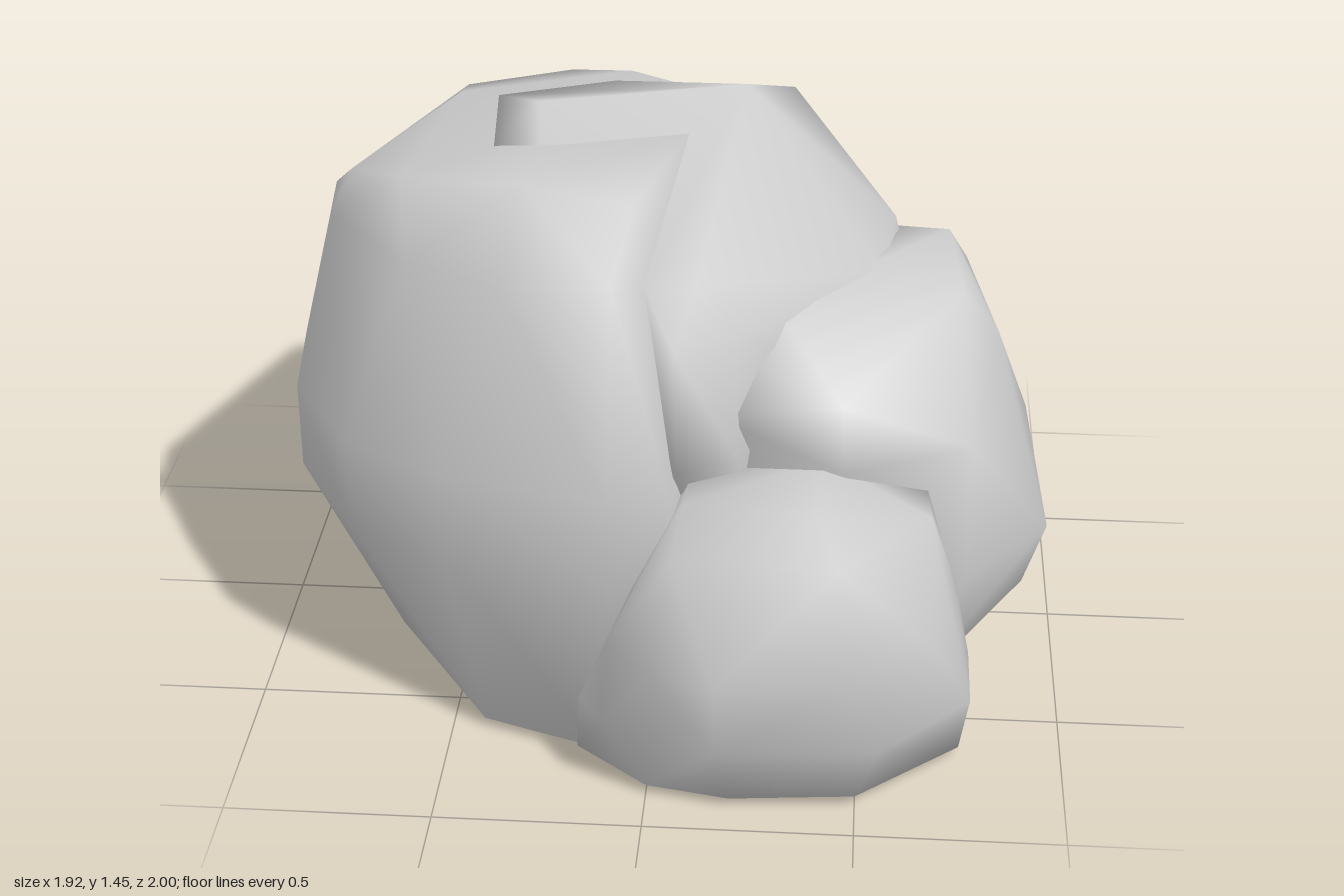
import * as THREE from 'three';
import { ConvexGeometry } from 'three/addons/geometries/ConvexGeometry.js';
import { mergeVertices } from 'three/addons/utils/BufferGeometryUtils.js';

const material = new THREE.MeshStandardMaterial({ color: 0xcccccc });

// A smooth-shaded boulder: the hull around slices, each [height, [x, z], [x, z], ...]
function boulder(name, slices) {
  const points = slices.flatMap(([y, ...ring]) => ring.map(([x, z]) => new THREE.Vector3(x, y, z)));
  let geometry = new ConvexGeometry(points);
  geometry.deleteAttribute('normal');
  geometry = mergeVertices(geometry, 1e-4);
  geometry.computeVertexNormals();
  const mesh = new THREE.Mesh(geometry, material);
  mesh.name = name;
  return mesh;
}

export function createModel() {
  const group = new THREE.Group();
  group.name = 'boulderCluster';

  // Large boulder on the right-hand and back side (-x)
  group.add(boulder('largeBoulder', [
    [0.03, [-0.69, 0.2], [-0.42, 0.62], [-0.12, 0.73], [0.2, 0.5], [0.15, -0.4], [-0.4, -0.68], [-0.65, -0.25]],
    [0.5, [-0.96, -0.02], [-0.93, 0.2], [-0.75, 0.5], [-0.5, 0.65], [-0.1, 0.76], [0.04, 0.73], [0.28, -0.52]],
    [0.57, [-0.27, -1], [-0.76, -0.74], [-0.55, -0.89]],
    [0.75, [-0.955, -0.06], [-0.92, 0.25], [-0.75, 0.53], [-0.5, 0.67], [-0.1, 0.77], [0.05, 0.75],
      [0.3, -0.52], [0.24, -0.63], [0.13, -0.77], [-0.03, -0.89]],
    [1.2, [-0.84, 0], [-0.82, 0.2], [-0.6, 0.46], [-0.35, 0.59], [-0.1, 0.59], [-0.02, 0.55], [0.2, -0.5], [0, -0.7], [-0.33, -0.8], [-0.6, -0.67]],
    [1.28, [-0.78, 0.1], [-0.58, -0.42], [-0.15, -0.6]],
    [1.34, [-0.63, 0.28], [-0.06, 0.4], [0.1, -0.3]],
    [1.39, [-0.32, 0.42], [0.05, 0.08], [-0.3, 0.1]],
  ]));

  // Tall boulder in the middle, reaching down between the others
  group.add(boulder('topBoulder', [
    [0.05, [0.45, -0.3], [0.1, -0.4], [-0.3, 0.2], [0.3, 0.4]],
    [0.25, [0.54, -0.42], [0.25, -0.5]],
    [0.6, [0.56, -0.43], [0.3, -0.56], [0.05, -0.55]],
    [0.8, [0.06, 0.71], [0.2, 0.63]],
    [0.87, [0.5, -0.5], [0.6, -0.25], [0.05, -0.53], [0.5, 0.3]],
    [1.06, [0.53, 0.13], [0.56, -0.2], [0.05, 0.62], [0.2, 0.52]],
    [1.2, [-0.02, 0.56], [0.1, 0.52]],
    [1.31, [-0.18, -0.45], [0.29, -0.44]],
    [1.37, [-0.45, -0.18], [-0.42, 0.15], [-0.3, 0.23]],
    [1.45, [-0.32, 0.05], [0.02, -0.06], [0.18, -0.1]],
  ]));

  // Medium boulder on the left (+x)
  group.add(boulder('sideBoulder', [
    [0.04, [0.76, 0.1], [0.6, 0.5], [0.55, -0.25], [0, 0.5], [0.1, -0.2]],
    [0.23, [0.91, 0.2], [0.76, -0.29], [0.5, -0.4]],
    [0.43, [0.96, 0.26], [0.75, 0.53], [0.75, -0.37]],
    [0.6, [0.76, -0.39], [0.91, -0.06], [0.45, -0.44]],
    [0.75, [0.1, 0.6], [0.45, 0.6], [0.76, 0.45]],
    [0.9, [0.82, 0.12], [0.75, -0.31], [0.45, 0.55], [0.13, 0.6]],
    [1, [0.73, 0.1], [0.7, -0.26], [0.5, -0.28], [0.2, 0.5]],
    [1.08, [0.27, 0.38], [0.4, 0], [0.53, 0.1]],
  ]));

  // Small boulder at the front
  group.add(boulder('frontBoulder', [
    [0.03, [-0.18, 0.72], [0.75, 0.66], [0.5, 0.88], [0, 0.87], [0.2, 0.91], [0.72, 0.4], [0, 0.3]],
    [0.2, [-0.17, 0.76], [0.77, 0.71], [0.77, 0.5], [0.55, 0.94], [-0.1, 0.87], [0.17, 0.97]],
    [0.4, [0.02, 0.96], [0.17, 1], [0.48, 0.98], [0.69, 0.82], [0.73, 0.5], [-0.1, 0.83]],
    [0.67, [0.06, 0.89], [0.45, 0.92], [0.66, 0.65], [0.65, 0.5]],
    [0.76, [0.08, 0.78], [0.4, 0.82], [0.1, 0.55], [0.4, 0.55]],
  ]));

  // Small boulder tucked in at the back
  group.add(boulder('backBoulder', [
    [0.04, [0.35, -0.43], [0.53, -0.32], [0.1, -0.4], [0.3, 0]],
    [0.3, [0.48, -0.55], [0.67, -0.36], [0.2, -0.57]],
    [0.5, [0.33, -0.69], [0.56, -0.57], [0.68, -0.42], [0.2, -0.6]],
    [0.84, [0.32, -0.65], [0.45, -0.6], [0.24, -0.6]],
    [0.92, [0.35, -0.5], [0.4, -0.3]],
  ]));

  // Low stone under the cluster
  group.add(boulder('baseStone', [
    [0.005, [-0.5, -0.25], [0.2, -0.35], [0, -0.35]],
    [0.015, [-0.56, 0.1], [-0.3, 0.55], [0.2, 0.63], [0.55, 0.45], [0.5, 0]],
    [0.12, [-0.4, 0.3], [0.4, 0.4], [0.4, -0.2], [0, -0.4], [-0.4, -0.3]],
  ]));

  return group;
}
